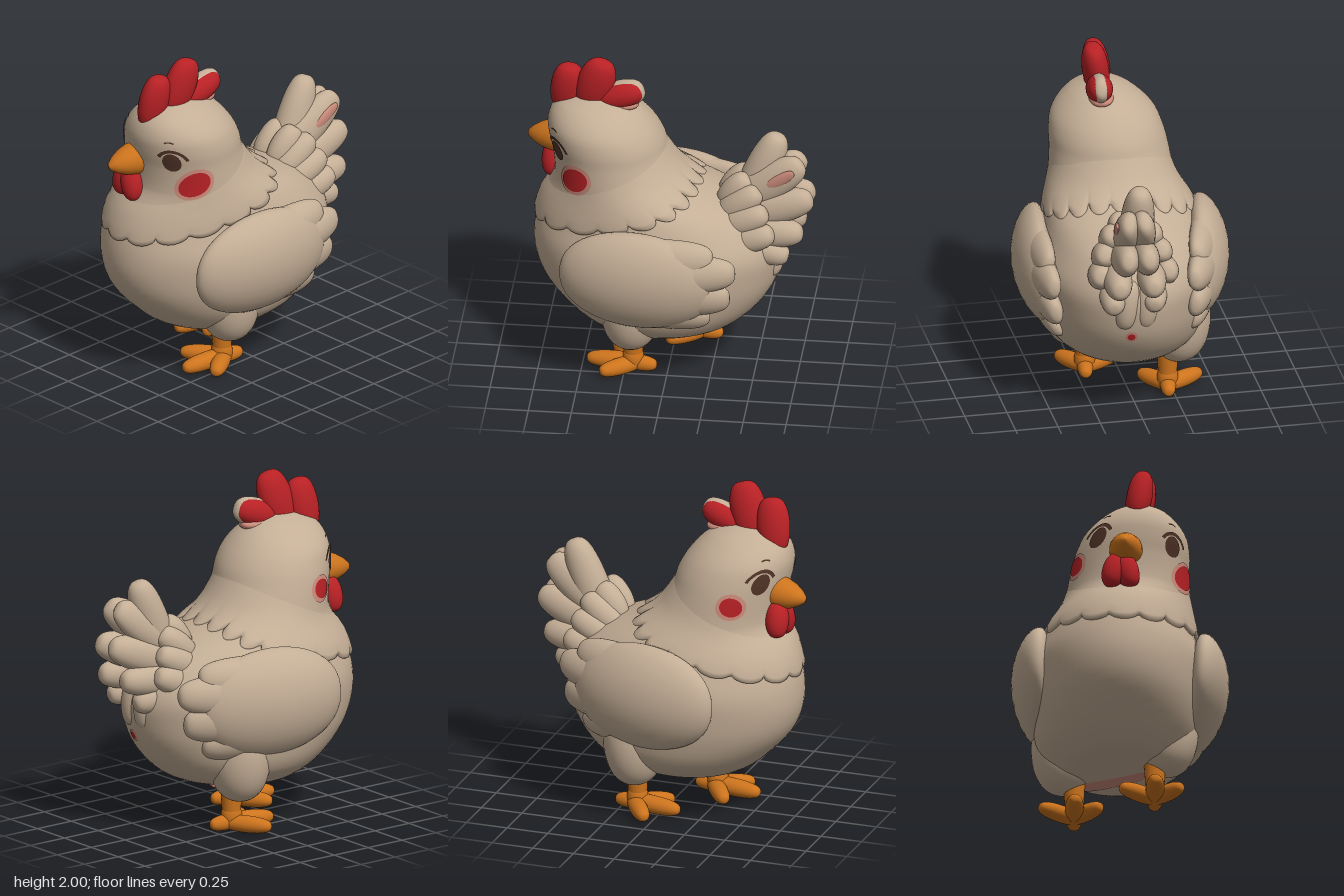
import * as THREE from 'three';
import { mergeGeometries, mergeVertices } from 'three/addons/utils/BufferGeometryUtils.js';

const mat = (name, color, side = THREE.FrontSide) => {
  const m = new THREE.MeshStandardMaterial({ color, side });
  m.name = name;
  return m;
};
const V = (x, y, z) => new THREE.Vector3(x, y, z);
const UP = V(0, 1, 0), SIDE = V(1, 0, 0);

// Body cross-sections: y, centre x, centre z, half width, half depth, yaw
const KEYS = [
  [0.25, 0, 0.1, 0, 0, -0.1], [0.262, 0, 0.1, 0.22, 0.24, -0.1], [0.3, 0, 0.07, 0.33, 0.4, -0.1],
  [0.4, 0, 0.06, 0.44, 0.54, -0.1], [0.55, 0, 0.07, 0.49, 0.665, -0.1], [0.7, 0, 0.075, 0.51, 0.72, -0.1],
  [0.85, 0, 0.075, 0.515, 0.725, -0.1], [1, 0, 0.105, 0.46, 0.665, -0.1], [1.1, 0.01, 0.165, 0.42, 0.58, -0.1],
  [1.18, 0.02, 0.24, 0.385, 0.46, -0.08], [1.25, 0.025, 0.295, 0.365, 0.38, -0.05], [1.4, 0.03, 0.345, 0.345, 0.34, 0],
  [1.5, 0.042, 0.372, 0.332, 0.333, 0], [1.6, 0.052, 0.405, 0.295, 0.305, 0], [1.7, 0.06, 0.43, 0.195, 0.23, 0],
  [1.75, 0.06, 0.43, 0.095, 0.12, 0], [1.772, 0.06, 0.43, 0, 0, 0],
];

// Smooth interpolation of the cross-sections at a height
function section(y) {
  const n = KEYS.length - 1;
  let i = 0;
  while (i < n - 1 && y > KEYS[i + 1][0]) i++;
  const slope = (j, c) => {
    const p = KEYS[Math.max(j - 1, 0)], q = KEYS[Math.min(j + 1, n)];
    return (q[c] - p[c]) / (q[0] - p[0]);
  };
  const a = KEYS[i], b = KEYS[i + 1], h = b[0] - a[0];
  const t = THREE.MathUtils.clamp((y - a[0]) / h, 0, 1), t2 = t * t, t3 = t2 * t;
  return a.map((v, c) => (2 * t3 - 3 * t2 + 1) * v + (3 * t2 - 2 * t3) * b[c]
    + h * ((t3 - 2 * t2 + t) * slope(i, c) + (t3 - t2) * slope(i + 1, c)));
}

// Point on the body at an angle (0 = front, + towards its left), raised by off
function surf(a, y, off = 0) {
  const [, cx, cz, rx, rz, yaw] = section(y);
  const px = rx * Math.sin(a), pz = rz * Math.cos(a), c = Math.cos(yaw), s = Math.sin(yaw);
  const p = V(cx + px * c + pz * s, y, cz - px * s + pz * c);
  if (off) {
    const da = surf(a + 0.01, y).sub(p), dy = surf(a, y + 0.004).sub(p);
    p.addScaledVector(da.cross(dy).normalize(), off);
  }
  return p;
}

// Closed ring-by-ring skin
function loft(rows, cols, point) {
  const pos = [], idx = [];
  for (let j = 0; j < rows; j++) {
    for (let i = 0; i < cols; i++) {
      pos.push(...point((i / cols) * Math.PI * 2, j).toArray());
      if (j === rows - 1) continue;
      const a = j * cols + i, b = j * cols + (i + 1) % cols;
      idx.push(a, b, b + cols, a, b + cols, a + cols);
    }
  }
  const g = new THREE.BufferGeometry();
  g.setAttribute('position', new THREE.Float32BufferAttribute(pos, 3));
  g.setIndex(idx);
  g.computeVertexNormals();
  return g;
}

// Rounded lobe from a to b, half width w, half thickness t along n; blunter ends as full drops below 1
function blob(a, b, w, t, n = SIDE, full = 0.62) {
  const A = V(...a), B = V(...b), y = B.clone().sub(A), len = y.length();
  y.normalize();
  const x = n.clone().addScaledVector(y, -n.dot(y)).normalize();
  const m = new THREE.Matrix4().makeBasis(x, y, x.clone().cross(y));
  m.scale(V(t, len / 2, w)).setPosition(A.add(B).multiplyScalar(0.5));
  let g = new THREE.SphereGeometry(1, 28, 24);
  g.deleteAttribute('normal');
  g.deleteAttribute('uv');
  g = mergeVertices(g);
  const p = g.attributes.position;
  for (let i = 0; i < p.count; i++) {
    const r = Math.hypot(p.getX(i), p.getZ(i)), k = r > 1e-5 ? r ** (full - 1) : 1;
    p.setX(i, p.getX(i) * k).setZ(i, p.getZ(i) * k);
  }
  g.applyMatrix4(m);
  g.computeVertexNormals();
  return g;
}

export function createModel() {
  const model = new THREE.Group();
  model.name = 'chicken';
  const tan = mat('tan feathers', 0xc4ae96), red = mat('red', 0xb82125), orange = mat('orange', 0xcd741d);
  const brown = mat('dark brown', 0x4f3226, THREE.DoubleSide), pink = mat('soft pink', 0xcd8c7c);
  const add = (name, geo, material, parent = model) => {
    const m = new THREE.Mesh(Array.isArray(geo) ? mergeGeometries(geo) : geo, material);
    m.name = name;
    parent.add(m);
    return m;
  };

  // Body, neck and head in one skin
  const ys = [];
  KEYS.forEach((k, i) => {
    if (i) for (let s = 0; s < 4; s++) ys.push(THREE.MathUtils.lerp(KEYS[i - 1][0], k[0], s / 4));
  });
  ys.push(KEYS[KEYS.length - 1][0]);
  add('body', loft(ys.length, 72, (a, j) => surf(a, ys[j])), tan);

  // Scalloped neck feathers, smooth above their edge
  const lip = [[0, -0.01], [0, 0.012], [0.08, 0.02], [0.25, 0.02], [0.5, 0.013], [0.75, 0.005], [1, -0.004]];
  add('collar', loft(lip.length, 240, (a, j) => {
    const base = 0.955 + 0.14 * (1 - Math.cos(a)), s = lip[j][0];
    const scallop = 0.042 * Math.sqrt(Math.abs(Math.cos(a * 9))) * Math.max(0, 1 - s * 3);
    return surf(a, base + s * 0.22 - scallop, lip[j][1]);
  }), tan);

  // Painted patches that follow the skin
  const decal = (name, material, a0, y0, w, h, off, tilt = 0, ring = [0.001, 1, 36, 5]) => {
    const g = new THREE.RingGeometry(...ring), p = g.attributes.position, r = section(y0)[3];
    const c = Math.cos(tilt), s = Math.sin(tilt);
    for (let i = 0; i < p.count; i++) {
      const u = p.getX(i) * w, v = p.getY(i) * h;
      const q = surf(a0 + (u * c - v * s) / r, y0 + u * s + v * c, off);
      p.setXYZ(i, q.x, q.y, q.z);
    }
    g.computeVertexNormals();
    add(name, g, material);
  };
  for (const [side, eye, eyeY, cheek, cheekY, cw, ch, s] of [
    ['left', 0.62, 1.46, 0.97, 1.312, 0.1, 0.07, 1], ['right', -0.79, 1.5, -1.2, 1.375, 0.075, 0.05, -1]]) {
    decal(side + 'Eye', brown, eye, eyeY, 0.056, 0.06, 0.006);
    decal(side + 'EyeLid', brown, eye + 0.02 * s, eyeY - 0.01, 0.105, 0.095, 0.006, -0.1 * s, [0.8, 1, 32, 2, 0.4, 2.3]);
    decal(side + 'Brow', brown, eye, eyeY + 0.08, 0.065, 0.055, 0.006, 0, [0.86, 1, 20, 1, 1.05, 1]);
    decal(side + 'CheekGlow', pink, cheek, cheekY, cw + 0.025, ch + 0.022, 0.005, 0.5 * s);
    decal(side + 'Cheek', red, cheek, cheekY, cw, ch, 0.009, 0.5 * s);
  }
  decal('rearSpotGlow', pink, 3.1, 0.6, 0.036, 0.036, 0.004);
  decal('rearSpot', red, 3.1, 0.6, 0.022, 0.022, 0.007);

  // Comb leaning to one side, with a pale strip down the last lobe
  add('comb', [
    blob([0.02, 1.62, 0.615], [0.075, 1.94, 0.58], 0.1, 0.075),
    blob([0.06, 1.66, 0.48], [0.115, 2.0, 0.385], 0.11, 0.078),
    blob([0.08, 1.72, 0.42], [0.11, 1.825, 0.155], 0.085, 0.078),
    blob([0.03, 1.7, 0.68], [0.1, 1.74, 0.22], 0.06, 0.065),
  ], red);
  add('combStrip', blob([0.08, 1.72, 0.42], [0.11, 1.827, 0.15], 0.089, 0.062), tan);
  add('combBase', blob([0.03, 1.695, 0.67], [0.1, 1.72, 0.18], 0.045, 0.088), pink);

  // Beak and wattle
  const beak = add('beak', new THREE.LatheGeometry(
    [[0.09, -0.04], [0.097, 0.02], [0.094, 0.06], [0.076, 0.12], [0.05, 0.17], [0.022, 0.205], [0, 0.213]]
      .map(([x, y]) => new THREE.Vector2(x, y)), 32), orange);
  beak.position.set(-0.035, 1.41, 0.635);
  beak.quaternion.setFromUnitVectors(UP, V(-0.2, -0.08, 1).normalize());
  add('wattle', [
    blob([-0.085, 1.37, 0.67], [-0.138, 1.16, 0.685], 0.07, 0.07, SIDE, 0.75),
    blob([-0.06, 1.37, 0.68], [-0.015, 1.155, 0.7], 0.068, 0.068, SIDE, 0.75),
  ], red);

  // Wings: overlapping lobes bent around the body
  const lobes = [
    [[0.54, 0.77, 0.605], [0.48, 0.76, -0.3], 0.32, 0.12, 0.88],
    [[0.5, 0.92, 0.3], [0.475, 0.95, -0.3], 0.12, 0.075, 0.62],
    [[0.49, 0.82, 0.25], [0.47, 0.86, -0.425], 0.125, 0.08, 0.62],
    [[0.48, 0.7, 0.25], [0.465, 0.68, -0.39], 0.13, 0.08, 0.62],
    [[0.48, 0.57, 0.3], [0.465, 0.53, -0.27], 0.11, 0.075, 0.7],
  ];
  for (const s of [1, -1]) {
    const g = mergeGeometries(lobes.map(([a, b, w, t, full]) =>
      blob([a[0] * s, a[1], a[2]], [b[0] * s, b[1], b[2]], w, t, SIDE, full)));
    const p = g.attributes.position;
    for (let i = 0; i < p.count; i++) {
      const dy = p.getY(i) - 0.8, dz = p.getZ(i) - 0.1;
      p.setX(i, p.getX(i) - s * (0.24 * dz * dz + 0.5 * dy * dy));
    }
    g.computeVertexNormals();
    const wing = add(s > 0 ? 'leftWing' : 'rightWing', g, tan);
    wing.rotation.set(0, -0.15, -0.045);
    wing.position.set(0.005, s > 0 ? 0.015 : 0.03, s > 0 ? -0.07 : -0.11);
  }

  // Tail fan: one top feather, then pairs stepping down
  const tail = [blob([0.04, 0.95, -0.4], [0.04, 1.535, -0.63], 0.11, 0.1)];
  for (const s of [1, -1]) {
    for (const [dx, y, z, w, t] of [[0.045, 1.4, -0.775, 0.11, 0.075], [0.06, 1.18, -0.835, 0.105, 0.08],
      [0.1, 0.97, -0.785, 0.095, 0.085], [0.12, 0.82, -0.705, 0.085, 0.08]]) {
      tail.push(blob([0.04 + dx * s, (y + 2) / 3 - 0.05, -0.36], [0.09 + dx * s, y, z], w, t, V(1, 0, 0.3 * s)));
    }
    // small coverts at the root and below
    for (const [dx, y, z, y2, z2] of [[0.06, 1.08, -0.31, 1.29, -0.46], [0.12, 1.04, -0.3, 1.23, -0.53],
      [0.17, 0.98, -0.3, 1.12, -0.58], [0.2, 0.9, -0.34, 1.0, -0.62], [0.06, 0.95, -0.59, 0.65, -0.585]]) {
      tail.push(blob([0.04 + dx * s * 0.9, y, z], [0.07 + dx * s, y2, z2], 0.085, 0.075, V(1, 0.3 * s, 0)));
    }
  }
  add('tail', tail, tan);
  add('tailBlush', blob([0.175, 1.25, -0.57], [0.195, 1.37, -0.73], 0.035, 0.014), pink);

  // Thighs, legs and feet in a stride
  for (const [side, x, z] of [['left', 0.2, 0.2], ['right', -0.22, -0.14]]) {
    const s = Math.sign(x);
    add(side + 'Thigh', blob([x + 0.07 * s, 0.74, z], [x + 0.065 * s, 0.205, z + 0.01], 0.18, 0.185, SIDE, 0.8), tan);
    const foot = new THREE.Group();
    foot.name = side + 'Foot';
    foot.position.set(x, 0, z);
    foot.rotation.y = -0.14;
    model.add(foot);
    add(side + 'Leg', new THREE.CylinderGeometry(0.065, 0.05, 0.24, 24).translate(0, 0.17, 0), orange, foot);
    add(side + 'Toes', [
      blob([0, 0.07, -0.06], [0, 0.058, 0.275], 0.055, 0.052, UP),
      blob([0.03, 0.065, -0.05], [-0.2, 0.058, 0.15], 0.052, 0.05, UP),
      blob([-0.03, 0.065, -0.05], [0.155, 0.058, 0.16], 0.052, 0.05, UP),
      blob([0, 0.07, 0.07], [0, 0.06, -0.14], 0.046, 0.047, UP),
      blob([0, 0.02, 0], [0, 0.17, 0], 0.062, 0.062),
    ], orange, foot);
  }
  add('bellyBlush', blob([0.2, 0.272, 0.11], [-0.2, 0.28, -0.21], 0.08, 0.03, UP), pink);
  return model;
}
